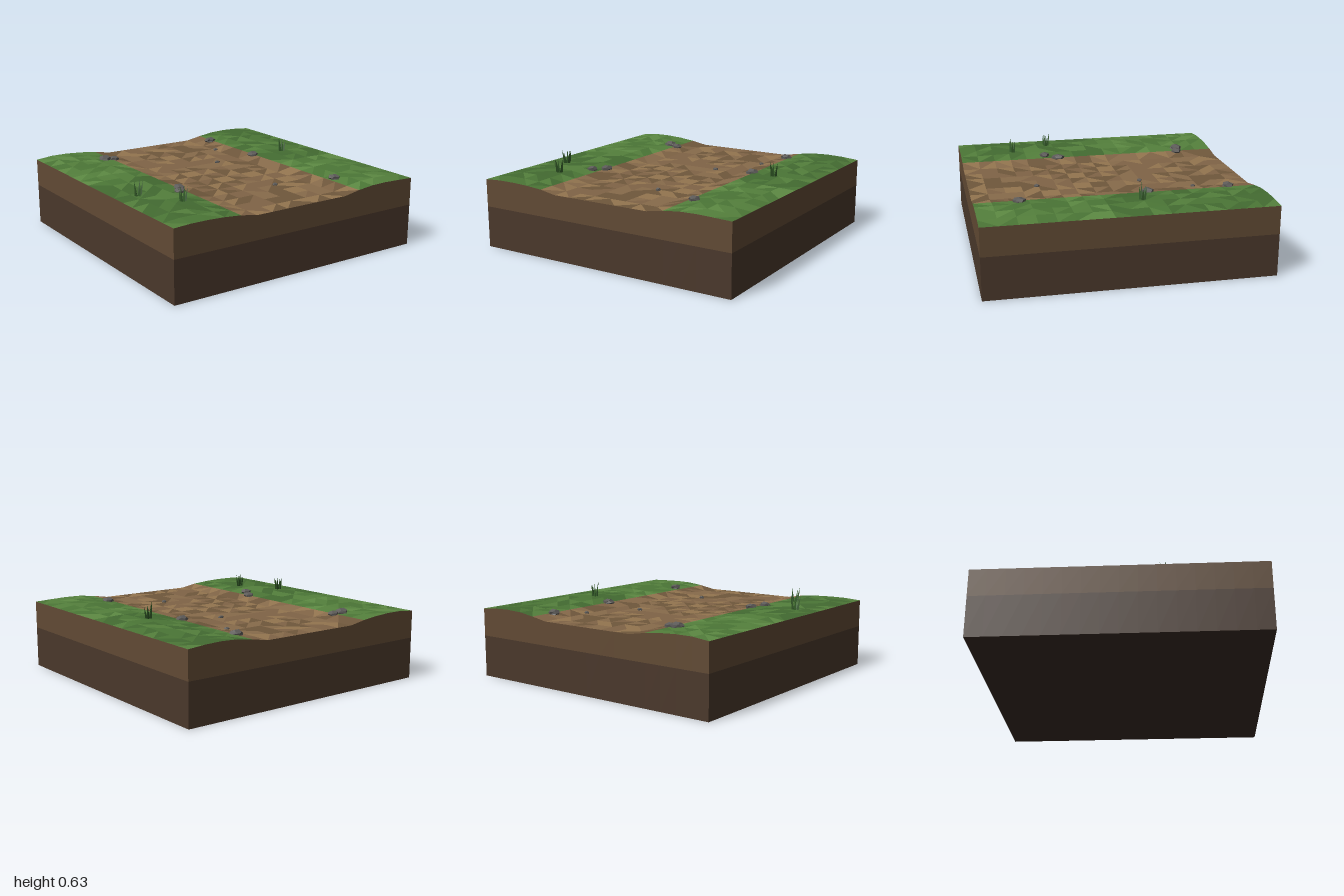
import * as THREE from 'three';

const N = 16, STEP = 2 / N;
const at = i => -1 + i * STEP;

// small seeded random
function seeded(seed) {
  return () => {
    seed = (seed * 1664525 + 1013904223) % 4294967296;
    return seed / 4294967296;
  };
}

const material = (color, extra = {}) =>
  new THREE.MeshStandardMaterial({ color, flatShading: true, roughness: 1, ...extra });

function triangleMesh(name, positions, mat) {
  const g = new THREE.BufferGeometry();
  g.setAttribute('position', new THREE.Float32BufferAttribute(positions, 3));
  g.computeVertexNormals();
  const mesh = new THREE.Mesh(g, mat);
  mesh.name = name;
  return mesh;
}

// ground height: flat sunken path, shoulders, gently rolling verge
const PROFILE = [[0, 0.47], [0.375, 0.47], [0.5, 0.492], [0.625, 0.506], [0.75, 0.511], [0.875, 0.509], [1, 0.5]];
function height(x, z) {
  const a = Math.min(Math.abs(x), 1);
  let k = 1;
  while (k < PROFILE.length - 1 && a > PROFILE[k][0]) k++;
  const [x0, y0] = PROFILE[k - 1], [x1, y1] = PROFILE[k];
  const base = y0 + (y1 - y0) * (a - x0) / (x1 - x0);
  const verge = a > 0.5 ? Math.min((a - 0.5) * 6, (1 - a) * 8, 1) : 0;
  return base + verge * 0.005 * Math.sin(z * 7 + x * 4);
}

// faceted surface, triangles sorted into shades of grass and dirt
function buildGround() {
  const group = new THREE.Group();
  group.name = 'ground';
  const rand = seeded(7);
  const shades = {
    grass: [0x436b31, 0x4b7636, 0x54803c, 0x5d8a43],
    dirt: [0x70583c, 0x806446, 0x886b4b, 0x93754f],
  };
  const buckets = { grass: [[], [], [], []], dirt: [[], [], [], []] };
  const point = (i, j) => [at(i), height(at(i), at(j)), at(j)];
  for (let i = 0; i < N; i++) for (let j = 0; j < N; j++) {
    const x = at(i + 0.5), z = at(j + 0.5);
    const kind = Math.abs(x) < 0.5 ? 'dirt' : 'grass';
    const a = point(i, j), b = point(i, j + 1), c = point(i + 1, j + 1), d = point(i + 1, j);
    const triangles = rand() < 0.5 ? [[a, b, c], [a, c, d]] : [[a, b, d], [b, c, d]];
    const light = x < 0 ? z < -0.1 : z > 0.1;
    for (const t of triangles) {
      const shade = kind === 'dirt' ? Math.floor(rand() * 4) : Math.floor(rand() * 2.6) + (light ? 1 : 0);
      buckets[kind][shade].push(...t.flat());
    }
  }
  for (const kind in buckets) buckets[kind].forEach((p, k) =>
    group.add(triangleMesh(`${kind}Shade${k + 1}`, p, material(shades[kind][k]))));
  return group;
}

// one wall band around the block between two height functions
function buildBand(name, low, high, color) {
  const positions = [];
  const sides = [t => [t, 1], t => [1, -t], t => [-t, -1], t => [-1, t]];
  for (const side of sides) for (let i = 0; i < N; i++) {
    const [x0, z0] = side(at(i)), [x1, z1] = side(at(i + 1));
    const a = [x0, low(x0, z0), z0], b = [x1, low(x1, z1), z1];
    const c = [x1, high(x1, z1), z1], d = [x0, high(x0, z0), z0];
    positions.push(...a, ...b, ...c, ...a, ...c, ...d);
  }
  return triangleMesh(name, positions, material(color));
}

// irregular flattened stone, half sunk in the ground
function buildRock([x, z, rx, rz, ry], index) {
  const rand = seeded(index * 97 + 13);
  const g = new THREE.DodecahedronGeometry(1, 0);
  const p = g.attributes.position, v = new THREE.Vector3(), scales = new Map();
  for (let i = 0; i < p.count; i++) {
    v.fromBufferAttribute(p, i);
    const key = v.toArray().map(n => Math.round(n * 100)).join();
    if (!scales.has(key)) scales.set(key, 0.88 + rand() * 0.24);
    v.multiplyScalar(scales.get(key));
    p.setXYZ(i, v.x * rx, v.y * ry, v.z * rz);
  }
  g.computeVertexNormals();
  const rock = new THREE.Mesh(g, material(0x5c5a58));
  rock.position.set(x, height(x, z) + ry * 0.25, z);
  rock.name = 'rock';
  return rock;
}

// tuft of slim leaning blades
function buildTuft([x, z, spreadX, spreadZ], index) {
  const group = new THREE.Group();
  group.name = 'grassTuft';
  const rand = seeded(index * 31 + 5);
  const count = 5;
  for (let k = 0; k < count; k++) {
    const angle = (k + rand() * 0.5) / count * Math.PI * 2;
    const h = 0.085 + rand() * 0.035;
    const g = new THREE.ConeGeometry(0.012, h, 3).translate(0, h / 2, 0);
    const blade = new THREE.Mesh(g, material(k % 2 ? 0x35602a : 0x2f5425));
    const dx = Math.cos(angle), dz = Math.sin(angle);
    blade.position.set(dx * spreadX * 0.5, 0, dz * spreadZ * 0.5);
    const lean = new THREE.Vector3(dx * spreadX * 0.55, h, dz * spreadZ * 0.55).normalize();
    blade.quaternion.setFromUnitVectors(new THREE.Vector3(0, 1, 0), lean);
    blade.name = 'grassBlade';
    group.add(blade);
  }
  group.position.set(x, height(x, z) - 0.003, z);
  return group;
}

export function createModel() {
  const model = new THREE.Group();
  model.name = 'pathTile';

  // soil block
  model.add(buildGround());
  model.add(buildBand('upperSoil', () => 0.3, height, 0x614a34));
  model.add(buildBand('lowerSoil', () => 0, () => 0.3, 0x4a382b));
  const base = new THREE.Mesh(new THREE.PlaneGeometry(2, 2).rotateX(Math.PI / 2), material(0x3a2c24));
  base.name = 'base';
  model.add(base);

  // stones along the path: x, z, radius x, radius z, radius y
  const rocks = [
    [-0.555, -0.725, 0.05, 0.046, 0.027], [-0.485, -0.71, 0.042, 0.04, 0.024],
    [0.48, -0.81, 0.045, 0.043, 0.025], [0.38, -0.58, 0.02, 0.018, 0.013],
    [0.165, -0.24, 0.021, 0.017, 0.014], [0.49, -0.215, 0.044, 0.043, 0.025],
    [-0.49, 0.255, 0.037, 0.053, 0.024], [-0.55, 0.355, 0.04, 0.038, 0.023],
    [0.145, 0.515, 0.019, 0.02, 0.015], [0.545, 0.69, 0.039, 0.048, 0.026],
  ];
  rocks.forEach((r, i) => model.add(buildRock(r, i + 1)));

  // tufts: x, z, spread x, spread z
  const tufts = [[-0.84, 0.295, 0.035, 0.03], [-0.67, 0.59, 0.032, 0.024], [0.71, -0.125, 0.03, 0.025]];
  tufts.forEach((t, i) => model.add(buildTuft(t, i + 1)));

  return model;
}
